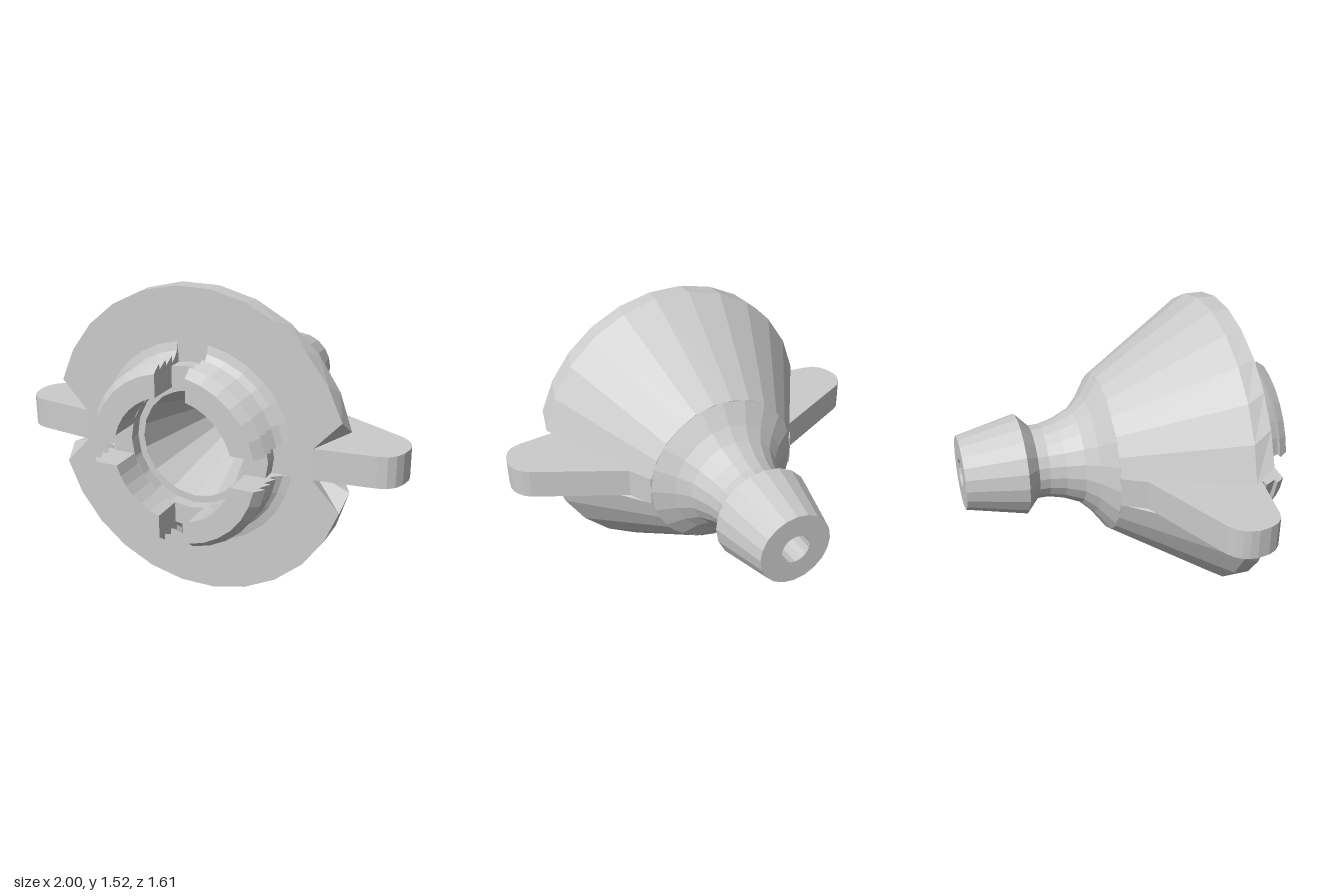
import * as THREE from 'three';

const HALF = 0.077; // half thickness of the wings and of the collar slots
const grey = new THREE.MeshStandardMaterial({ color: 0xcccccc, flatShading: true });

// Solid through equal-length closed sections; the contours triangulate the two end caps.
function loft(sections, firstContour, lastContour) {
  const n = sections[0].length, last = sections.length - 1, index = [];
  for (let i = 0; i < last; i++) {
    for (let j = 0; j < n; j++) {
      const k = (j + 1) % n;
      const a = i * n + j, b = i * n + k, c = b + n, d = a + n;
      index.push(a, b, d, b, c, d);
    }
  }
  for (const [p, q, r] of THREE.ShapeUtils.triangulateShape(firstContour, [])) index.push(r, q, p);
  for (const [p, q, r] of THREE.ShapeUtils.triangulateShape(lastContour, [])) {
    index.push(last * n + p, last * n + q, last * n + r);
  }
  const geometry = new THREE.BufferGeometry().setFromPoints(sections.flat());
  geometry.setIndex(index);
  const flat = geometry.toNonIndexed();
  flat.computeVertexNormals();
  return flat;
}

// Lathe about the z axis from [radius, z] pairs.
function latheZ(profile, sides) {
  const points = profile.map(([r, z]) => new THREE.Vector2(r, z));
  return new THREE.LatheGeometry(points, sides).rotateX(Math.PI / 2);
}

// Half of the flared cone, with notched edges beside the wings.
function halfConeGeometry() {
  const steps = 11, inner = 0.35;
  // [z, outer radius, start height of the arc, x of the notch root]
  const rows = [[-0.08, 0.41, HALF, 0.402], [0.48, 0.765, 0.15, 0.574], [0.57, 0.765, 0.22, 0.6]];
  const sections = rows.map(([z, radius, height, root]) => {
    const points = [new THREE.Vector3(root, HALF, z)];
    const arc = (r, from, to) => {
      for (let i = 0; i <= steps; i++) {
        const t = from + (to - from) * i / steps;
        points.push(new THREE.Vector3(r * Math.cos(t), r * Math.sin(t), z));
      }
    };
    const a = Math.asin(height / radius), b = Math.asin(HALF / inner);
    arc(radius, a, Math.PI - a);
    points.push(new THREE.Vector3(-root, HALF, z));
    arc(inner, Math.PI - b, b);
    return points;
  });
  const contour = (s) => s.map((p) => new THREE.Vector2(p.x, p.y));
  return loft(sections, contour(sections[0]), contour(sections[2]));
}

// Quarter of the threaded collar, with parallel slot walls.
function collarGeometry() {
  const steps = 6;
  const profile = [[0.305, 0.56], [0.305, 0.8], [0.415, 0.8]];
  for (const z of [0.75, 0.69, 0.63]) profile.push([0.452, z], [0.42, z]);
  profile.push([0.435, 0.605], [0.465, 0.58], [0.505, 0.57], [0.505, 0.56]);
  const sections = [];
  for (let i = 0; i <= steps; i++) {
    sections.push(profile.map(([r, z]) => {
      const a = Math.asin(HALF / r);
      const t = a + (Math.PI / 2 - 2 * a) * i / steps;
      return new THREE.Vector3(r * Math.cos(t), r * Math.sin(t), z);
    }));
  }
  const contour = profile.map(([r, z]) => new THREE.Vector2(z, r));
  return loft(sections, contour, contour);
}

// Flat side wing with a rounded tip, drawn in x and z.
function wingGeometry() {
  const shape = new THREE.Shape();
  shape.moveTo(0.32, -0.08);
  shape.lineTo(0.41, -0.08);
  shape.lineTo(0.475, 0.04);
  shape.lineTo(0.93, 0.265);
  shape.quadraticCurveTo(1, 0.31, 1, 0.39);
  shape.quadraticCurveTo(0.99, 0.525, 0.89, 0.535);
  shape.lineTo(0.6, 0.57);
  shape.lineTo(0.32, 0.57);
  shape.closePath();
  return new THREE.ExtrudeGeometry(shape, { depth: 2 * HALF, bevelEnabled: false, curveSegments: 4 })
    .rotateX(Math.PI / 2).translate(0, HALF, 0);
}

export function createModel() {
  const model = new THREE.Group();
  model.name = 'nozzle';
  const body = new THREE.Group();
  body.name = 'body';
  body.position.y = 0.765;
  model.add(body);

  const add = (name, geometry, turn = 0) => {
    const mesh = new THREE.Mesh(geometry, grey);
    mesh.name = name;
    mesh.rotation.z = turn;
    body.add(mesh);
  };

  // Barbed spout, neck and core
  add('spoutAndNeck', latheZ([
    [0.075, -0.805], [0.19, -0.805], [0.26, -0.5], [0.19, -0.435], [0.19, -0.38],
    [0.21, -0.3], [0.25, -0.21], [0.31, -0.15], [0.41, -0.08],
    [0.41, 0.64], [0.305, 0.64], [0.305, 0.58], [0.27, 0.58],
  ], 20));

  // Funnel and bore, facing inwards
  add('funnelAndBore', latheZ([[0.272, 0.58], [0.076, -0.1], [0.076, -0.805]], 14));

  // Two cone halves and two wings
  const cone = halfConeGeometry(), wing = wingGeometry();
  ['left', 'right'].forEach((side, i) => add(side + 'Wing', wing, i * Math.PI));
  ['upper', 'lower'].forEach((side, i) => add(side + 'Cone', cone, i * Math.PI));

  // Four threaded collar segments
  const collar = collarGeometry();
  for (let i = 0; i < 4; i++) add('collarSegment' + (i + 1), collar, i * Math.PI / 2);

  return model;
}
